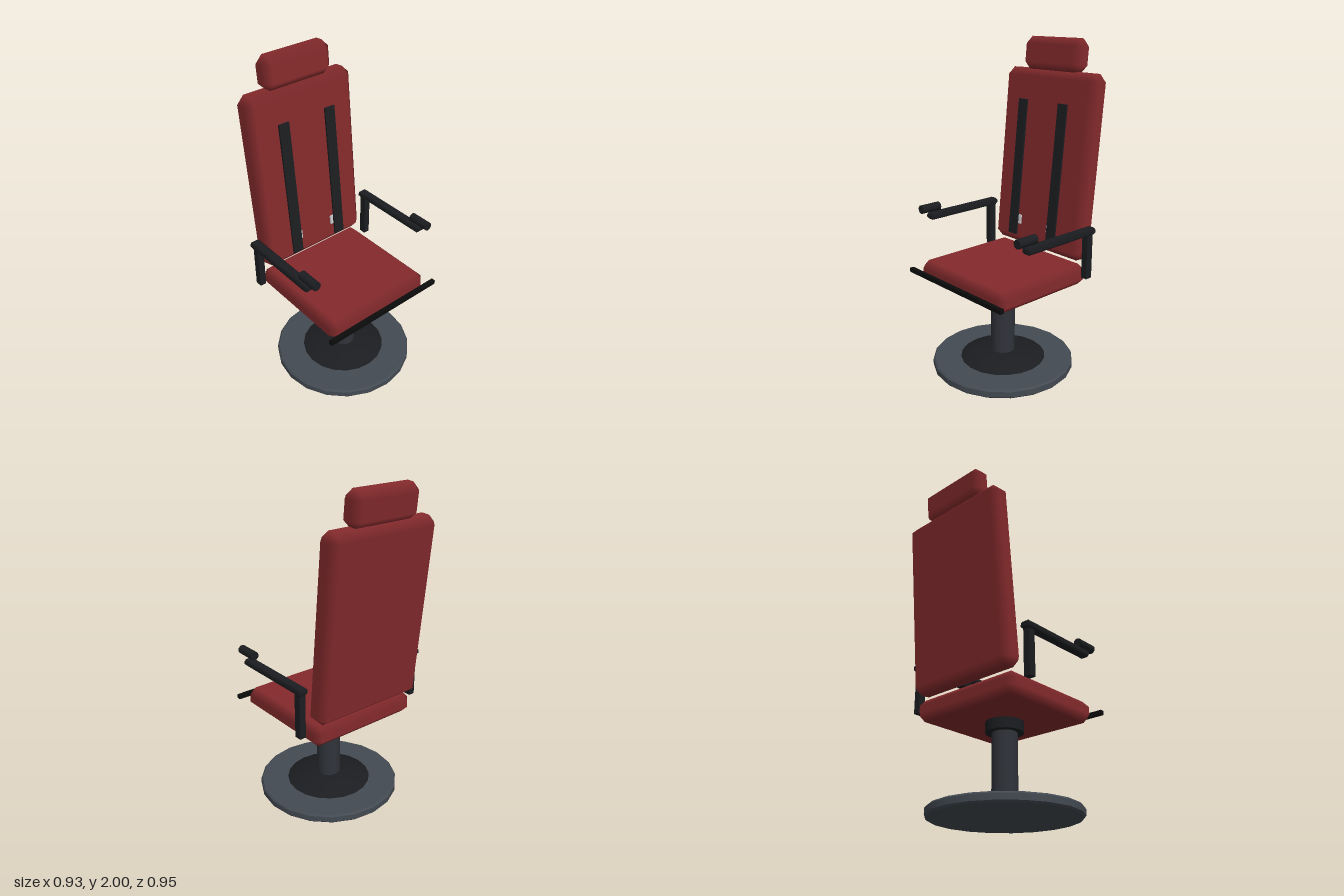
import * as THREE from 'three';
import { toCreasedNormals } from 'three/addons/utils/BufferGeometryUtils.js';
import { ConvexGeometry } from 'three/addons/geometries/ConvexGeometry.js';

const mat = (color) => new THREE.MeshStandardMaterial({ color });
const TILT = -0.098;

// Box with one chamfer step; normals follow the flat faces so the chamfers shade softly.
function cushion(w, h, d, c) {
  const half = [w / 2, h / 2, d / 2];
  const points = [];
  for (let axis = 0; axis < 3; axis++) {
    for (let i = 0; i < 8; i++) {
      const p = [0, 1, 2].map((k) => ((i >> k) & 1 ? 1 : -1) * (k === axis ? half[k] : half[k] - c));
      points.push(new THREE.Vector3(...p));
    }
  }
  const geometry = new ConvexGeometry(points);
  const pos = geometry.attributes.position;
  const normal = geometry.attributes.normal;
  for (let i = 0; i < pos.count; i++) {
    const p = [pos.getX(i), pos.getY(i), pos.getZ(i)];
    const n = p.map((v, k) => (Math.abs(v) > half[k] - c / 2 ? Math.sign(v) : 0));
    normal.setXYZ(i, ...n);
  }
  return geometry;
}

// Turned part from [radius, height] pairs, with sharp rims.
function turned(profile, sides) {
  const points = profile.map(([r, y]) => new THREE.Vector2(r, y));
  return toCreasedNormals(new THREE.LatheGeometry(points, sides), 0.5);
}

export function createModel() {
  const model = new THREE.Group();
  model.name = 'chair';
  const red = mat(0x842a2c);
  const black = mat(0x1b1d20);
  const jet = mat(0x0c0c0d);
  const slate = mat(0x434a52);
  const steel = mat(0x30333a);
  const metal = mat(0xcccccc);

  const add = (name, geometry, material, x, y, z, tilt = 0) => {
    const mesh = new THREE.Mesh(geometry, material);
    mesh.name = name;
    mesh.position.set(x, y, z);
    mesh.rotation.x = tilt;
    model.add(mesh);
    return mesh;
  };

  // Pedestal
  const pz = 0.035;
  add('baseDisc', turned([[0, 0], [0.43, 0], [0.44, 0.01], [0.44, 0.045], [0.43, 0.055], [0, 0.055]], 20), slate, 0, 0, pz);
  add('baseCone', turned([[0.265, 0.055], [0.15, 0.1], [0, 0.1]], 20), black, 0, 0, pz);
  add('column', new THREE.CylinderGeometry(0.075, 0.075, 0.42, 16), steel, 0, 0.3, pz);
  add('collar', new THREE.CylinderGeometry(0.112, 0.112, 0.07, 16), black, 0, 0.52, pz);

  // Upholstery
  add('seat', cushion(0.75, 0.13, 0.715, 0.043), red, 0, 0.615, 0.0325);
  add('backrest', cushion(0.75, 1.11, 0.145, 0.046), red, 0, 1.255, -0.344, TILT);
  add('headrest', cushion(0.47, 0.2, 0.135, 0.046), red, 0, 1.9, -0.4, TILT);

  // Bar in front of the seat
  add('frontBar', new THREE.BoxGeometry(0.834, 0.026, 0.026), jet, 0, 0.613, 0.418);

  // Mirrored straps, buckles and arms
  for (const [side, s] of [['left', 1], ['right', -1]]) {
    add(side + 'Strap', new THREE.BoxGeometry(0.07, 0.86, 0.012), black, s * 0.165, 1.2, -0.247, -0.103);
    add(side + 'Buckle', cushion(0.06, 0.06, 0.014, 0.004), metal, s * 0.142, 0.87, -0.227, TILT);
    add(side + 'ArmPost', new THREE.BoxGeometry(0.04, 0.29, 0.045), black, s * 0.428, 0.775, -0.246);
    add(side + 'Armrest', cushion(0.068, 0.042, 0.555, 0.015), black, s * 0.43, 0.921, -0.012);
    const grip = add(side + 'Grip', new THREE.CylinderGeometry(0.027, 0.027, 0.135, 12), black, s * 0.43, 0.976, 0.255);
    grip.rotation.x = Math.PI / 2;
  }
  return model;
}
